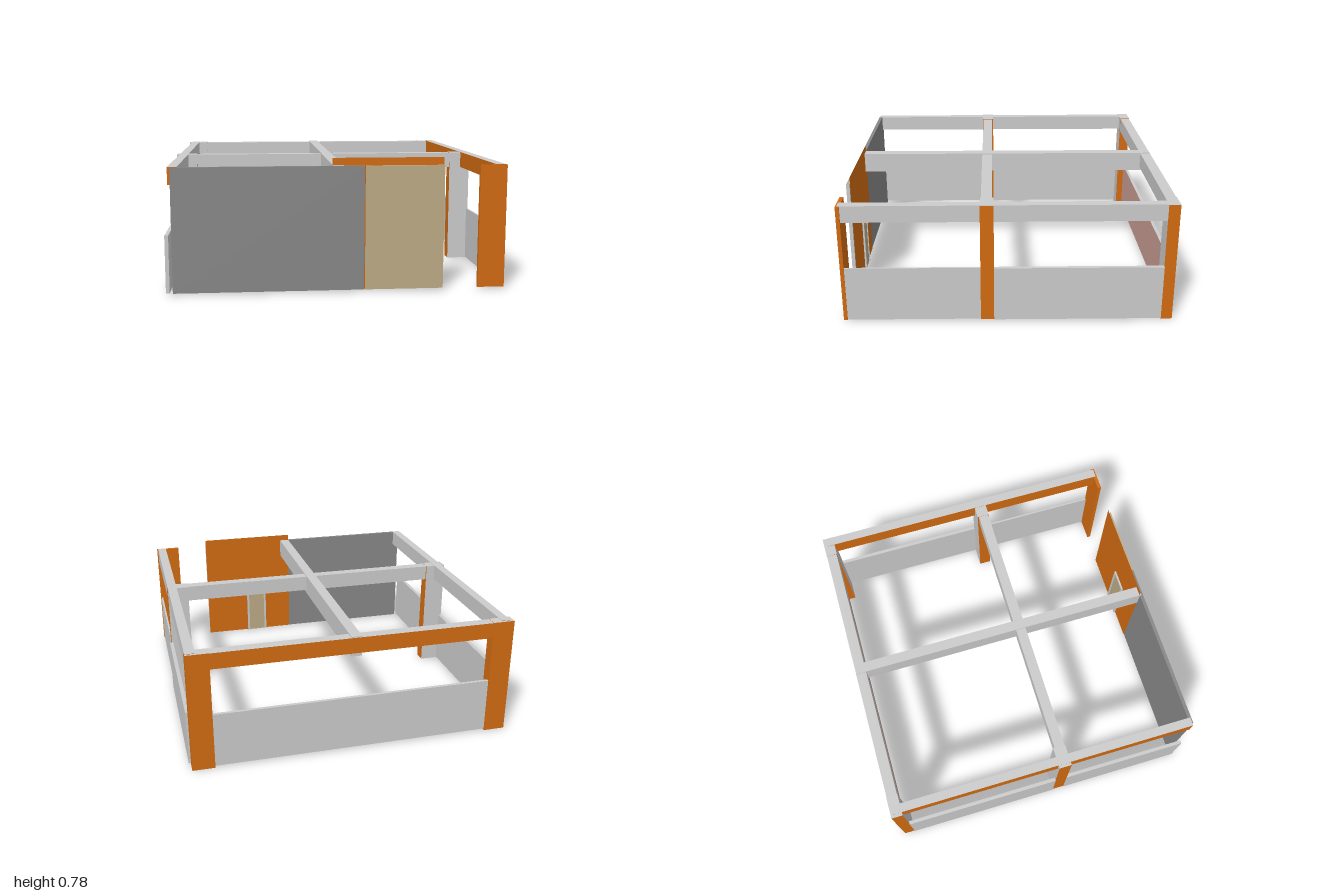
import * as THREE from 'three';

const material = (color) => new THREE.MeshStandardMaterial({ color });
const grey = material(0xcccccc);
const darkGrey = material(0x888888);
const orange = material(0xd26b12);
const tan = material(0xbdab86);
const pink = material(0xcca095);

// Box between two corners; faces lists materials for +x, -x, +y, -y, +z, -z
function block(name, x, y, z, faces) {
  const mesh = new THREE.Mesh(
    new THREE.BoxGeometry(x[1] - x[0], y[1] - y[0], z[1] - z[0]), faces);
  mesh.position.set((x[0] + x[1]) / 2, (y[0] + y[1]) / 2, (z[0] + z[1]) / 2);
  mesh.name = name;
  return mesh;
}

export function createModel() {
  const model = new THREE.Group();
  model.name = 'roomFrame';
  const add = (...args) => model.add(block(...args));

  // Columns at the back corners and halfway along the sides
  for (const [side, x] of [['right', [-0.995, -0.86]], ['left', [0.85, 0.985]]]) {
    add(side + 'BackColumn', x, [0, 0.74], [-0.99, -0.92],
      [orange, orange, grey, orange, grey, orange]);
    add(side + 'MiddleColumn', x, [0.005, 0.74], [0.085, 0.165],
      [orange, orange, grey, orange, grey, grey]);
  }

  // Beams across the room
  add('backBeam', [-0.97, 0.975], [0.64, 0.738], [-0.988, -0.922],
    [grey, orange, grey, orange, grey, orange]);
  add('middleBeam', [-0.97, 0.975], [0.64, 0.738], [0.095, 0.16],
    [grey, grey, grey, orange, grey, grey]);

  // Beams running from back to front
  for (const [side, x] of [['right', [-0.975, -0.92]], ['left', [0.925, 0.983]]]) {
    add(side + 'SideBeam', x, [0.64, 0.742], [-0.975, 0.98],
      [grey, orange, grey, orange, orange, orange]);
  }
  add('centreBeam', [-0.035, 0.03], [0.62, 0.744], [-0.985, 0.975],
    [grey, grey, grey, orange, grey, grey]);

  // Low walls along both sides, in two lengths each
  for (const [end, z] of [['Back', [-0.92, 0.085]], ['Front', [0.165, 0.98]]]) {
    add('right' + end + 'LowWall', [-1, -0.978], [0.01, 0.35], z, grey);
    add('left' + end + 'LowWall', [0.975, end === 'Back' ? 0.998 : 0.987], [0.01, 0.35], z, grey);
  }

  // Low back wall in two halves
  for (const x of [[-0.86, -0.003], [-0.003, 0.85]]) {
    add('backLowWall', x, [0.01, 0.35], [-0.985, -0.965],
      [grey, grey, grey, grey, pink, grey]);
  }

  // Front wall panels and corner post
  add('darkFrontPanel', [-0.96, 0.15], [0.01, 0.74], [0.965, 0.987], darkGrey);
  add('tanFrontPanel', [0.155, 0.62], [0.01, 0.74], [0.965, 0.987],
    [grey, orange, tan, grey, tan, tan]);
  add('frontCornerPost', [0.83, 0.99], [0.01, 0.74], [0.965, 0.988], orange);

  // Thin inner lining, rising just above the front panels
  const lining = new THREE.Mesh(
    new THREE.PlaneGeometry(0.655, 0.775),
    new THREE.MeshStandardMaterial({ color: 0xd26b12, side: THREE.DoubleSide }));
  lining.position.set(0.2925, 0.3975, 0.962);
  lining.name = 'innerLining';
  model.add(lining);

  // Door with a grey frame on the inside
  const door = new THREE.Group();
  door.name = 'door';
  const depth = [0.95, 0.961];
  door.add(
    block('doorLeaf', [0.175, 0.295], [0.01, 0.415], [0.955, 0.961], tan),
    block('doorFrameHead', [0.16, 0.31], [0.415, 0.43], depth, grey),
    block('doorFrameRight', [0.16, 0.175], [0.01, 0.415], depth, grey),
    block('doorFrameLeft', [0.295, 0.31], [0.01, 0.415], depth, grey));
  model.add(door);

  return model;
}
